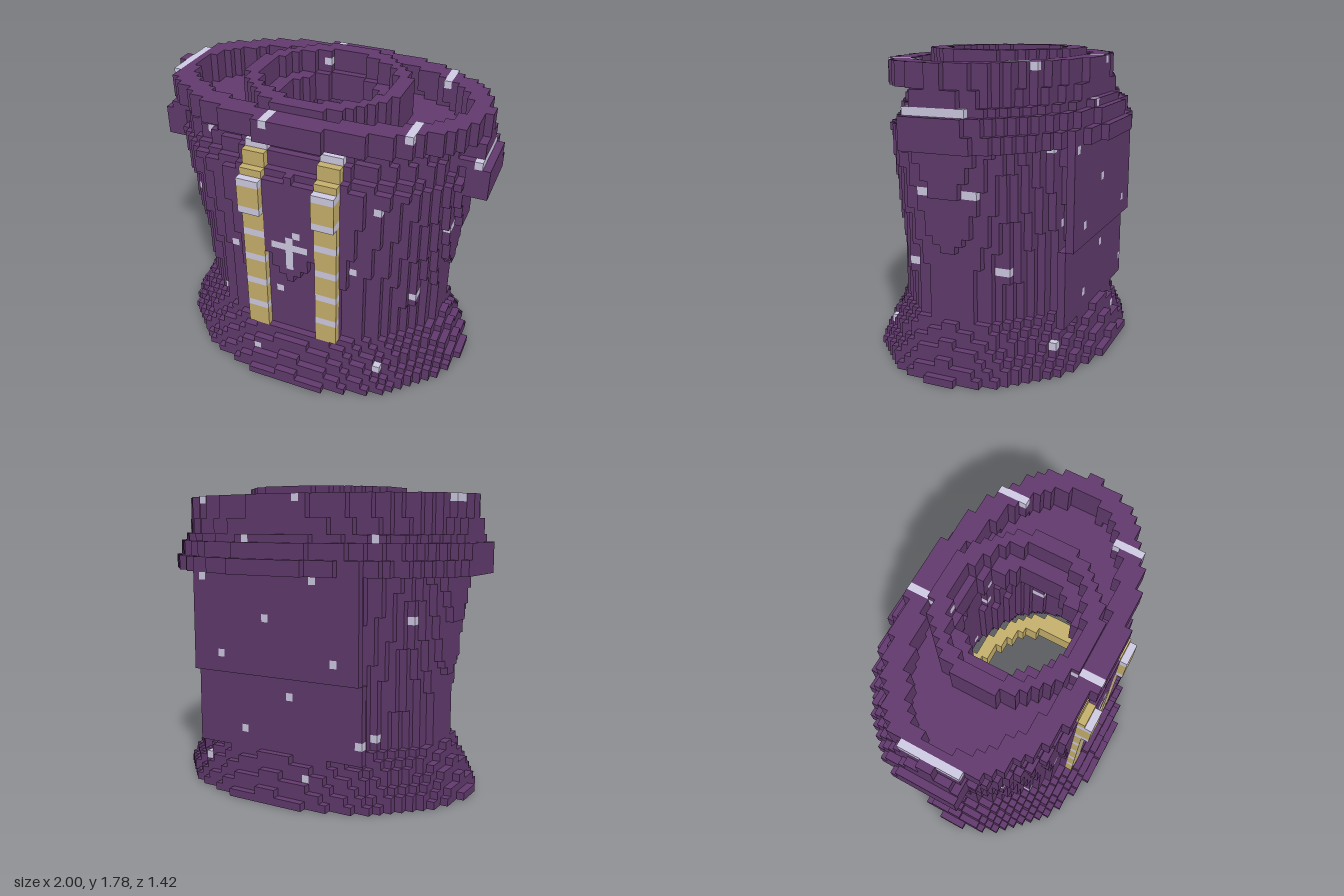
import * as THREE from 'three';

const S = 2 / 45; // edge of one cube: the garment is 45 x 40 x 32 cubes

const mats = [
  new THREE.MeshStandardMaterial({ name: 'purple cloth', color: 0x613a6d }),
  new THREE.MeshStandardMaterial({ name: 'pale lavender', color: 0xd0cbe4 }),
  new THREE.MeshStandardMaterial({ name: 'gold', color: 0xc6b06c }),
];
const CLOTH = 0, PALE = 1, GOLD = 2;

// The six faces of a cube: normal and two edge axes with u x v = normal
const FACES = [
  [[1, 0, 0], [0, 1, 0], [0, 0, 1]], [[-1, 0, 0], [0, 0, 1], [0, 1, 0]],
  [[0, 1, 0], [0, 0, 1], [1, 0, 0]], [[0, -1, 0], [1, 0, 0], [0, 0, 1]],
  [[0, 0, 1], [1, 0, 0], [0, 1, 0]], [[0, 0, -1], [0, 1, 0], [1, 0, 0]],
];

const key = (i, j, k) => (i + 40) + 100 * (j + 5) + 10000 * (k + 40);
const mod = (a, n) => ((a % n) + n) % n;
const inside = (i, k, [rx, rz]) => (i / rx) ** 2 + ((k + 0.5) / rz) ** 2 <= 1;

// Scattered pale flecks, shifting sideways every fifth row
const flecked = (i, j) => j % 5 === 3 && mod(i - 12 + 7 * ((j - 3) / 5), 17) === 0;

// Small emblem on the chest
const emblem = (i, j, k) => k >= 10 && ((i === 0 && j >= 18 && j <= 22) || (j === 21 && Math.abs(i) <= 2));

const clothColour = (i, j, k) => (flecked(i, j) || emblem(i, j, k) ? PALE : CLOTH);

// Half-widths [rx, rz] of each row: flared hem, waist, widening chest, shoulders
const SHOULDERS = [[19.5, 12.5], [19.5, 11.4], [19.5, 11.4], [19.5, 10.4]];
function bodySize(j) {
  if (j < 7) return [21.1 - 0.5 * j, 16 - 0.48 * j];
  if (j < 16) return [17.6 + 0.04 * Math.max(0, j - 10.5), 12.35];
  if (j < 31) return [18.05 + 0.16 * (j - 16), 12.51 + 0.05 * (j - 16)];
  return SHOULDERS[j - 31];
}
const NECK = [6.5, 7];

export function createModel() {
  const filled = new Set();
  const parts = {};

  // Fill a part row by row where test(i, j, k) holds
  function fill(name, j0, j1, test, colour = clothColour) {
    const cells = (parts[name] ||= []);
    for (let j = j0; j <= j1; j++)
      for (let k = -16; k <= 15; k++)
        for (let i = -22; i <= 22; i++) {
          const id = key(i, j, k);
          if (filled.has(id) || !test(i, j, k)) continue;
          filled.add(id);
          cells.push([i, j, k, colour(i, j, k)]);
        }
  }
  const ring = (i, k, outer, inner) => inside(i, k, outer) && !inside(i, k, inner);

  // Gold straps that follow the chest and bend over the shoulder
  fill('frontStraps', 7, 34, (i, j, k) => {
    const a = Math.abs(i);
    if (a < 4 || a > 6) return false;
    if (j === 34) return k === 10;
    if (j >= 32) return k === 11;
    return k === 12 || (k === 13 && j >= 26 && j <= 30);
  }, (i, j) => (j % 4 === 2 ? PALE : GOLD));

  // Hollow torso; the shoulder rows close in to the neck opening
  const torso = (i, j, k) => {
    const [rx, rz] = bodySize(j);
    return ring(i, k, [rx, rz], j >= 33 ? NECK : [rx - 2, rz - 2]);
  };
  fill('flaredHem', 0, 6, torso);
  fill('torso', 7, 34, torso);

  // Band inside the hem
  fill('waistBand', 0, 2, (i, j, k) => ring(i, k, [16.5, 11], [14, 9]), () => GOLD);

  // Neck tube and the wide ring around it
  fill('collar', 35, 39, (i, j, k) => ring(i, k, [10.5, 10], j >= 37 ? [8.5, 8] : NECK));
  fill('outerRing', 36, 38, (i, j, k) => ring(i, k, [21.1, 12.8], [18.5, 9.9]));

  // Stepped cape around the back of the shoulders
  fill('shoulderCape', 29, 35, (i, j, k) => {
    const rx = j <= 32 ? 23 : j === 33 ? 22 : 21.5;
    const rz = j <= 30 ? 16 : j <= 32 ? 15 : j === 33 ? 14 : 13.25;
    return k <= (j >= 34 ? 2 : 3) && ring(i, k, [rx, rz], [rx - 3, rz - 3]);
  });

  // Flat cloth hanging down the back, lying against the torso
  fill('backPanel', 16, 28, (i, j, k) => k === -14 && Math.abs(i) <= 12);
  fill('backPanel', 6, 15, (i, j, k) => k === -13 && Math.abs(i) <= 12);

  // Turn each part into a mesh of its exposed cube faces, grouped by colour
  const group = new THREE.Group();
  group.name = 'garment';
  for (const [name, cells] of Object.entries(parts)) {
    const pos = [], nor = [], index = [];
    const geo = new THREE.BufferGeometry();
    mats.forEach((_, m) => {
      const start = index.length;
      for (const [i, j, k, c] of cells) {
        if (c !== m) continue;
        for (const [n, u, v] of FACES) {
          if (filled.has(key(i + n[0], j + n[1], k + n[2]))) continue;
          const b = pos.length / 3;
          const centre = [i, j + 0.5, k + 0.5];
          for (const [su, sv] of [[-1, -1], [1, -1], [1, 1], [-1, 1]]) {
            for (let d = 0; d < 3; d++) pos.push(S * (centre[d] + 0.5 * (n[d] + su * u[d] + sv * v[d])));
            nor.push(...n);
          }
          index.push(b, b + 1, b + 2, b, b + 2, b + 3);
        }
      }
      if (index.length > start) geo.addGroup(start, index.length - start, m);
    });
    geo.setAttribute('position', new THREE.Float32BufferAttribute(pos, 3));
    geo.setAttribute('normal', new THREE.Float32BufferAttribute(nor, 3));
    geo.setIndex(index);
    const mesh = new THREE.Mesh(geo, mats);
    mesh.name = name;
    group.add(mesh);
  }
  return group;
}
